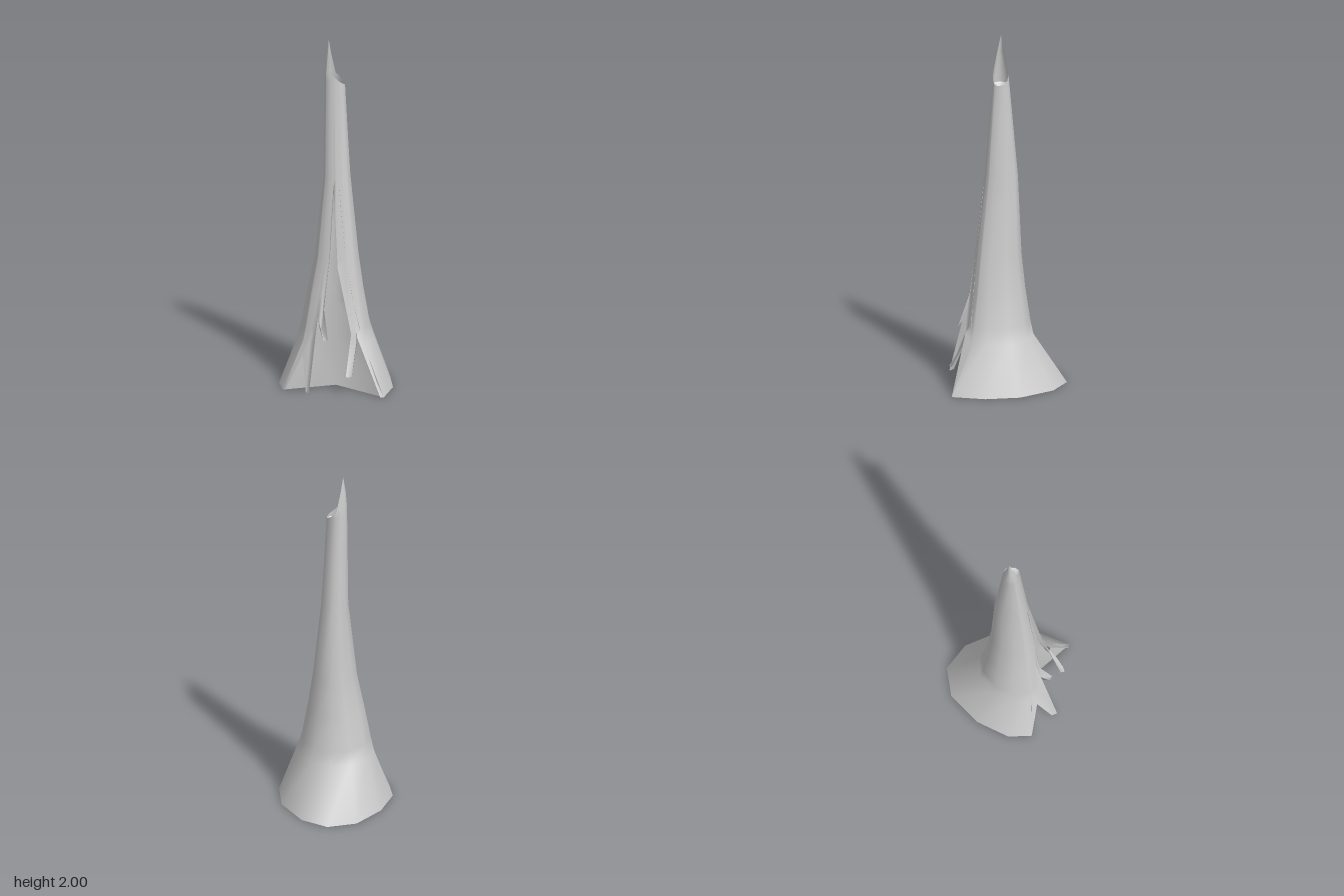
import * as THREE from 'three';
import { mergeVertices } from 'three/addons/utils/BufferGeometryUtils.js';

// Trunk cross-sections: [y, xMin, xMax, zBack, zFront]
const RINGS = [
  [0.28, -0.212, 0.215, -0.145, 0.24],
  [0.36, -0.195, 0.19, -0.128, 0.228],
  [0.55, -0.16, 0.155, -0.1, 0.2],
  [0.75, -0.12, 0.125, -0.08, 0.178],
  [1.2, -0.075, 0.075, -0.06, 0.125],
  [1.75, -0.07, 0.043, -0.01, 0.08],
  [1.8, -0.07, 0.041, -0.004, 0.077],
  [1.9, -0.062, 0.04, 0.012, 0.06],
  [2.0, -0.047, -0.037, 0.03, 0.04],
];

// Vertical strips of bark: [angle, then the lower end x, y, z]; 90 degrees is the front
const COLUMNS = [
  [93, -0.01, 1.15, 0.135], [88, 0.005, 0.94, 0.155], [82, 0.02, 0.7, 0.18], // split
  [60, 0.1, 0.34, 0.225], [58, 0.08, 0.115, 0.295], // left splinter
  [56, 0.09, 0.115, 0.315], [53, 0.113, 0.115, 0.3],
  [48, 0.133, 0.32, 0.222], [35, 0.27, 0, 0.288], [30, 0.29, 0, 0.288],
  [5, 0.317, 0, 0.1], [-28, 0.277, 0, -0.09], [-60, 0.14, 0, -0.265], // flared foot
  [-92, -0.013, 0, -0.33], [-122, -0.167, 0, -0.265], [-154, -0.277, 0, -0.09],
  [-183, -0.317, 0, 0.1], [-215, -0.28, 0, 0.222], [-218, -0.265, 0, 0.222],
  [-221, -0.167, 0.21, 0.225], [-232, -0.143, 0.02, 0.302], [-238, -0.122, 0.015, 0.327], // right splinters
  [-242, -0.085, 0.43, 0.225], [-248, -0.05, 0.31, 0.265], [-252, -0.022, 0.31, 0.272],
  [-254, -0.055, 0.49, 0.21], [-257, -0.03, 0.72, 0.18],
];

// Point on the trunk wall at an angle (degrees) and height
function wallPoint(degrees, y) {
  let i = 0;
  while (i < RINGS.length - 2 && y > RINGS[i + 1][0]) i++;
  const a = RINGS[i], b = RINGS[i + 1];
  const t = (y - a[0]) / (b[0] - a[0]);
  const [x0, x1, z0, z1] = [1, 2, 3, 4].map((k) => THREE.MathUtils.lerp(a[k], b[k], t));
  const angle = THREE.MathUtils.degToRad(degrees);
  const c = Math.cos(angle), s = Math.sin(angle);
  const middle = z0 + (z1 - z0) * 0.56;
  const z = s > 0
    ? middle + (z1 - middle) * Math.pow(s, 0.68) // squarer front
    : middle + (middle - z0) * s;
  return [(x0 + x1) / 2 + ((x1 - x0) / 2) * c, y, z];
}

// Height of the broken rim: low on the left, a sharp spike on the right
function rimHeight(degrees) {
  const c = Math.cos(THREE.MathUtils.degToRad(degrees));
  if (c > -0.25) return 1.73 + 0.048 * (1 - c);
  return 1.79 + 0.21 * Math.pow((-0.25 - c) / 0.75, 0.65);
}

// Smooth sheet through lines of points, without the triangles that collapse to nothing
function sheet(name, lines) {
  const size = lines[0].length, indices = [];
  for (let i = 0; i < lines.length - 1; i++) {
    for (let j = 0; j < size - 1; j++) {
      const a = i * size + j, b = a + size;
      indices.push(a, b, b + 1, a, b + 1, a + 1);
    }
  }
  let geometry = new THREE.BufferGeometry();
  geometry.setAttribute('position', new THREE.Float32BufferAttribute(lines.flat(2), 3));
  geometry.setIndex(indices);
  geometry = mergeVertices(geometry, 1e-5);

  const kept = [], index = geometry.index.array;
  for (let i = 0; i < index.length; i += 3) {
    const [a, b, c] = [index[i], index[i + 1], index[i + 2]];
    if (a !== b && b !== c && a !== c) kept.push(a, b, c);
  }
  geometry.setIndex(kept);
  geometry.computeVertexNormals();

  const material = new THREE.MeshStandardMaterial({ color: 0xcccccc, side: THREE.DoubleSide });
  const mesh = new THREE.Mesh(geometry, material);
  mesh.name = name;
  return mesh;
}

export function createModel() {
  const group = new THREE.Group();
  group.name = 'brokenTreeStump';

  // Bark: each strip runs from its ragged lower end to the broken rim
  const strips = COLUMNS.map(([degrees, x, bottom, z]) => {
    const top = rimHeight(degrees);
    const above = RINGS.map(([level]) => (
      level <= bottom ? [x, bottom, z] : wallPoint(degrees, Math.min(level, top))
    ));
    return [[x, bottom, z], ...above];
  });
  group.add(sheet('trunkBark', [...strips, strips[0]]));

  // Folded inner wall behind the split, from the foot corners up to the split's top
  const levels = [[0.28, 141, 40], [0.5, 135, 48], [0.75, 125, 60], [1.15, 110, 75]];
  const innerRows = levels.map(([y, right, left]) => [
    wallPoint(right, y), [0, y, 0.1], wallPoint(left, y),
  ]);
  const foot = [[-0.28, 0, 0.222], [0, 0, 0.1], [0.29, 0, 0.288]];
  group.add(sheet('innerWall', [...innerRows.reverse(), foot]));

  // Sunken floor closing the broken top
  const floorLines = COLUMNS.map(([degrees]) => [wallPoint(degrees, 1.72), [-0.02, 1.66, 0.035]]);
  group.add(sheet('hollowFloor', [...floorLines, floorLines[0]].reverse()));

  return group;
}
